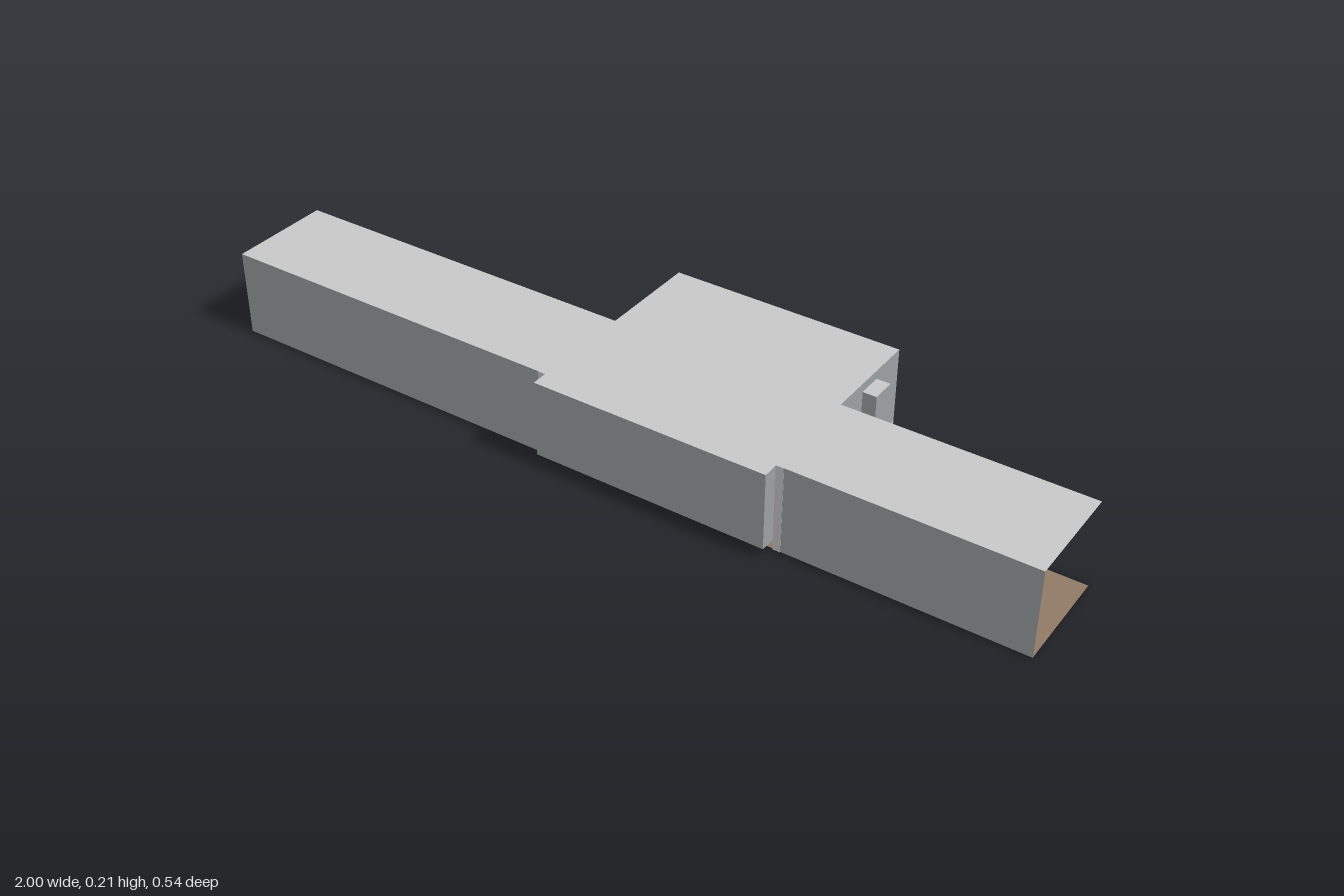
import * as THREE from 'three';

const mat = (name, color) => {
  const m = new THREE.MeshStandardMaterial({ color, side: THREE.DoubleSide });
  m.name = name;
  return m;
};

export function createModel() {
  const group = new THREE.Group();
  const wallGrey = mat('wallGrey', 0x9ca1a3);
  const paleGrey = mat('paleGrey', 0xc8c8c8);
  const floorBrown = mat('floorBrown', 0x8f7a66);
  const archBrown = mat('archBrown', 0x5f4f3c);

  const add = (name, geo, material) => {
    const mesh = new THREE.Mesh(geo, material);
    mesh.name = name;
    group.add(mesh);
    return mesh;
  };
  // Box given by its limits on each axis
  const box = (name, material, x0, x1, y0, y1, z0, z1) =>
    add(name, new THREE.BoxGeometry(x1 - x0, y1 - y0, z1 - z0), material)
      .position.set((x0 + x1) / 2, (y0 + y1) / 2, (z0 + z1) / 2);

  // Flat sheets: horizontal, facing z, facing x
  const sheetY = (name, material, x0, x1, z0, z1, y) =>
    add(name, new THREE.PlaneGeometry(x1 - x0, z1 - z0).rotateX(-Math.PI / 2), material)
      .position.set((x0 + x1) / 2, y, (z0 + z1) / 2);
  const sheetZ = (name, material, x0, x1, y0, y1, z) =>
    add(name, new THREE.PlaneGeometry(x1 - x0, y1 - y0), material)
      .position.set((x0 + x1) / 2, (y0 + y1) / 2, z);
  const sheetX = (name, material, z0, z1, y0, y1, x) =>
    add(name, new THREE.PlaneGeometry(z1 - z0, y1 - y0).rotateY(Math.PI / 2), material)
      .position.set(x, (y0 + y1) / 2, (z0 + z1) / 2);

  const H = 0.208, BASE = 0.025;
  const XL = -0.13, XR = 0.432;          // central block
  const JL = -0.148, JR = 0.45;          // outer faces of the portals
  const ZB = -0.267, ZF = 0.269;         // back and front of the block
  const WB = -0.02, WF = 0.23;           // back and front of the long hall

  // Long hall: floor, roof and front walls, open at the ends and the back
  sheetY('hallFloor', floorBrown, -1, 1, WB, WF, 0.001);
  sheetZ('frontWallRight', wallGrey, -1, JL, 0, H, WF);
  sheetZ('frontWallLeft', wallGrey, JR, 1, 0, H, WF);

  // One cross-shaped roof
  const roof = new THREE.Shape([
    [-1, WB], [XL, WB], [XL, ZB], [XR, ZB], [XR, WB], [1, WB],
    [1, WF], [XR, WF], [XR, ZF], [XL, ZF], [XL, WF], [-1, WF],
  ].map(([x, z]) => new THREE.Vector2(x, -z)));
  add('roof', new THREE.ShapeGeometry(roof).rotateX(-Math.PI / 2), paleGrey).position.y = H;

  // Front bay
  sheetZ('bayFront', wallGrey, XL, XR, BASE, H, ZF);
  sheetY('bayBottom', wallGrey, XL, XR, 0.232, ZF, BASE);
  for (const x of [XL, XR]) sheetX('baySide', wallGrey, 0.232, ZF, BASE, H, x);

  // Back room with a doorway
  const D0 = -0.068, D1 = -0.008, DT = 0.153, DZ = ZB + 0.03;
  sheetZ('backWallRight', wallGrey, XL, D0, BASE, H, ZB);
  sheetZ('backWallLeft', wallGrey, D1, XR, BASE, H, ZB);
  sheetZ('doorHeader', wallGrey, D0, D1, DT, H, ZB);
  sheetZ('door', wallGrey, D0, D1, BASE, DT, DZ);
  sheetY('doorLintel', wallGrey, D0, D1, ZB, DZ, DT);
  for (const x of [D0, D1]) sheetX('doorReveal', wallGrey, ZB, DZ, BASE, DT, x);
  sheetY('roomFloor', wallGrey, XL, XR, ZB, -0.016, BASE);
  for (const x of [XL, XR]) {
    sheetX('roomSide', wallGrey, ZB, -0.016, BASE, H, x);
    sheetX('skirtSide', paleGrey, ZB, -0.016, 0, BASE, x);
  }
  for (const z of [ZB, -0.016]) sheetZ('skirt', paleGrey, XL, XR, 0, BASE, z);

  // Window box on the side wall
  box('windowBox', wallGrey, XR, 0.465, 0.118, 0.186, -0.171, -0.1125);
  sheetY('windowBoxTop', paleGrey, XR, 0.465, -0.171, -0.1125, 0.187);

  // Portals: two posts and an arched header at each end of the block
  const arch = new THREE.Shape();
  arch.moveTo(0.007, H - 0.001);
  arch.lineTo(0.007, 0.165);
  for (let i = 1; i <= 24; i++) {
    const t = i / 24;
    arch.lineTo(0.007 + 0.201 * t, 0.165 + 0.034 * (1 - (2 * t - 1) ** 2));
  }
  arch.lineTo(0.208, H - 0.001);
  for (const [x0, x1] of [[JL, XL], [XR, JR]]) {
    box('backPost', wallGrey, x0, x1, 0, H - 0.001, -0.016, 0.007);
    box('frontPost', wallGrey, x0, x1, 0, H - 0.001, 0.208, 0.231);
    sheetZ('postFront', paleGrey, x0, x1, 0, H, 0.232);
    sheetZ('postBack', paleGrey, x0, x1, 0, H, -0.017);
    const geo = new THREE.ExtrudeGeometry(arch, { depth: x1 - x0, bevelEnabled: false });
    add('arch', geo.rotateY(-Math.PI / 2), archBrown).position.x = x1;
  }

  // Horizontal rails between the posts, on both sides of the hall
  for (const z of [-0.015, 0.209])
    for (const y of [0.03, 0.1, 0.165])
      box('rail', wallGrey, XL, XR, y - 0.007, y + 0.007, z, z + 0.021);

  return group;
}
